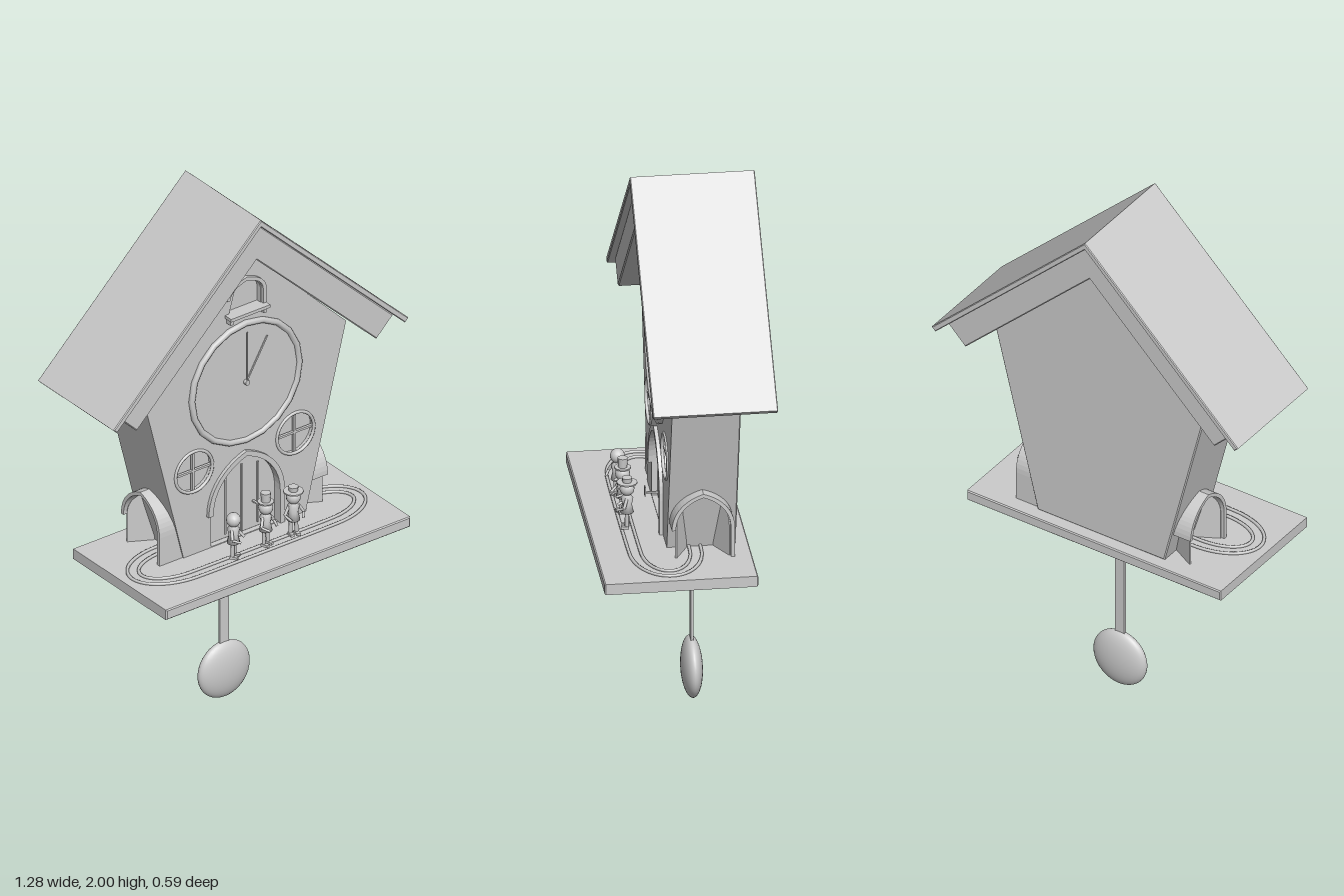
import * as THREE from 'three';

const mat = new THREE.MeshStandardMaterial({ color: 0xcccccc });
const flat = new THREE.MeshStandardMaterial({ color: 0xcccccc, flatShading: true });

function add(parent, name, geo, x = 0, y = 0, z = 0, material = mat) {
  const mesh = new THREE.Mesh(geo, material);
  mesh.name = name;
  mesh.position.set(x, y, z);
  parent.add(mesh);
  return mesh;
}

function group(parent, name, x = 0, y = 0, z = 0) {
  const g = new THREE.Group();
  g.name = name;
  g.position.set(x, y, z);
  parent.add(g);
  return g;
}

const box = (w, h, d) => new THREE.BoxGeometry(w, h, d);
const polygon = (pts) => new THREE.Shape(pts.map(([x, y]) => new THREE.Vector2(x, y)));

// Extrudes a shape from z0 to z1, with an optional bevel kept inside the outline.
function extrude(shape, z0, z1, bevel = 0) {
  const geo = new THREE.ExtrudeGeometry(shape, {
    depth: z1 - z0 - 2 * bevel, bevelEnabled: bevel > 0, bevelThickness: bevel,
    bevelSize: bevel, bevelOffset: -bevel, bevelSegments: 1, curveSegments: 12,
  });
  return geo.translate(0, 0, z0 + bevel);
}

// Slightly pointed arch standing on y0; a path of half width w and height h.
function arch(w, h, spring, y0 = 0, Type = THREE.Shape) {
  const p = new Type(), s = y0 + spring, r = h - spring;
  p.moveTo(-w, y0);
  p.lineTo(w, y0);
  p.lineTo(w, s);
  p.bezierCurveTo(w, s + r * 0.55, w * 0.5, s + r * 0.88, 0, s + r);
  p.bezierCurveTo(-w * 0.5, s + r * 0.88, -w, s + r * 0.55, -w, s);
  p.closePath();
  return p;
}

// Arch outline with its inside open down to the ground.
function archFrame(w, h, spring, t) {
  const pts = arch(w, h, spring).getPoints(12).slice(1, -1);
  const inner = arch(w - t, h - t, spring).getPoints(12).slice(1, -1).reverse();
  return new THREE.Shape([...pts, ...inner]);
}

function limb(parent, name, a, b, r) {
  const curve = new THREE.LineCurve3(new THREE.Vector3(...a), new THREE.Vector3(...b));
  return add(parent, name, new THREE.TubeGeometry(curve, 1, r, 6));
}

// Small standing person; the hat is 'top', 'wide' or none.
function figure(parent, name, x, turn, hat) {
  const g = group(parent, name, x, 0.71, 0.165);
  g.rotation.y = turn;
  const coat = [[0, 0.065], [0.024, 0.065], [0.017, 0.095], [0.022, 0.12], [0.009, 0.135], [0, 0.135]];
  add(g, 'coat', new THREE.LatheGeometry(coat.map((p) => new THREE.Vector2(...p)), 10));
  add(g, 'head', new THREE.SphereGeometry(0.026, 14, 10), 0, 0.155, 0);
  for (const s of [-1, 1]) {
    limb(g, 'leg', [s * 0.01, 0.075, 0], [s * 0.012, 0.008, 0], 0.007);
    add(g, 'shoe', box(0.014, 0.01, 0.028), s * 0.012, 0.011, 0.006);
    limb(g, 'upperArm', [s * 0.018, 0.122, 0], [s * 0.036, 0.092, 0.008], 0.006);
    limb(g, 'forearm', [s * 0.036, 0.092, 0.008], [s * 0.022, 0.08, 0.034], 0.005);
  }
  if (hat) {
    const wide = hat === 'wide';
    add(g, 'hatBrim', new THREE.CylinderGeometry(wide ? 0.036 : 0.029, wide ? 0.036 : 0.029, 0.005, 12), 0, 0.178, 0);
    add(g, 'hatCrown', new THREE.CylinderGeometry(0.018, 0.016, wide ? 0.018 : 0.036, 10), 0, wide ? 0.188 : 0.197, 0);
  }
  return g;
}

export function createModel() {
  const clock = new THREE.Group();
  clock.name = 'cuckooClock';

  // Base board
  const board = polygon([[-0.53, 0.66], [0.53, 0.66], [0.53, 0.70], [-0.53, 0.70]]);
  add(clock, 'baseBoard', extrude(board, -0.24, 0.295, 0.004));

  // House: solid back with a front wall cut out for the doors and windows
  const outline = [[-0.265, 0.7], [0.265, 0.7], [0.44, 1.4], [0, 1.84], [-0.44, 1.4]];
  add(clock, 'houseBody', extrude(polygon(outline), -0.195, 0.025, 0.004));
  const wall = polygon(outline);
  wall.holes.push(arch(0.145, 0.318, 0.13, 0.703, THREE.Path));
  wall.holes.push(arch(0.068, 0.115, 0.06, 1.605, THREE.Path));
  for (const s of [-1, 1]) {
    wall.holes.push(new THREE.Path().absarc(s * 0.22, 1.03, 0.08, 0, Math.PI * 2, true));
  }
  add(clock, 'frontWall', extrude(wall, 0.02, 0.045));

  // Roof: thin cover over a thicker inner layer
  const cover = [[0, 2], [-0.64, 1.385], [-0.625, 1.37], [0, 1.972], [0.625, 1.37], [0.64, 1.385]];
  add(clock, 'roofCover', extrude(polygon(cover), -0.295, 0.14, 0.003));
  const under = [[0, 1.975], [-0.593, 1.402], [-0.52, 1.33], [0, 1.83], [0.52, 1.33], [0.593, 1.402]];
  add(clock, 'roofUnderlayer', extrude(polygon(under), -0.265, 0.115, 0.004));

  // Clock face, rim and hands
  const dial = group(clock, 'dial', 0, 1.315, 0.045);
  add(dial, 'dialPlate', new THREE.CylinderGeometry(0.235, 0.235, 0.012, 40).rotateX(Math.PI / 2));
  add(dial, 'dialRim', new THREE.TorusGeometry(0.233, 0.012, 8, 20), 0, 0, 0.004);
  add(dial, 'handPin', new THREE.CylinderGeometry(0.01, 0.01, 0.014, 10).rotateX(Math.PI / 2), 0, 0, 0.012);
  add(dial, 'hourHand', box(0.006, 0.18, 0.003).translate(0, 0.09, 0), 0, 0, 0.01).rotation.z = -0.53;
  add(dial, 'minuteHand', box(0.005, 0.2, 0.003).translate(0, 0.1, 0), 0, 0, 0.014);

  // Bird door above the dial, with its ledge
  const bird = group(clock, 'birdDoor', 0, 1.605, 0);
  add(bird, 'birdDoorFrame', extrude(archFrame(0.085, 0.13, 0.06, 0.014), 0.04, 0.058));
  add(bird, 'birdDoorLedge', box(0.17, 0.012, 0.04), 0, -0.005, 0.06);
  for (const s of [-1, 1]) add(bird, 'ledgeBracket', box(0.012, 0.025, 0.025), s * 0.072, -0.02, 0.055);

  // Round windows with crossbars
  for (const s of [-1, 1]) {
    const win = group(clock, s > 0 ? 'leftWindow' : 'rightWindow', s * 0.22, 1.03, 0.045);
    add(win, 'windowRim', new THREE.TorusGeometry(0.08, 0.006, 8, 32));
    add(win, 'crossbar', box(0.16, 0.008, 0.01), 0, 0, -0.008);
    add(win, 'mullion', box(0.008, 0.16, 0.01), 0, 0, -0.008);
  }

  // Main door: frame, plank seams and knob
  const door = group(clock, 'mainDoor', 0, 0.7, 0);
  add(door, 'doorFrame', extrude(archFrame(0.165, 0.34, 0.13, 0.02), 0.04, 0.058));
  for (const x of [-0.07, 0, 0.07]) add(door, 'doorSeam', box(0.006, 0.27 - Math.abs(x) * 0.4, 0.006), x, 0.14, 0.027);
  add(door, 'knobStem', box(0.008, 0.006, 0.07), 0.05, 0.11, 0.058);
  add(door, 'knobPlate', box(0.02, 0.035, 0.004), 0.05, 0.118, 0.094);

  // Side tunnels with open door leaves
  for (const s of [-1, 1]) {
    const tunnel = group(clock, s > 0 ? 'leftTunnel' : 'rightTunnel', 0, 0.7, -0.07);
    tunnel.rotation.y = s * Math.PI / 2;
    add(tunnel, 'tunnelArch', extrude(archFrame(0.11, 0.245, 0.11, 0.014), 0.25, 0.365));
    const half = new THREE.Shape(arch(0.096, 0.215, 0.11).getPoints(12).filter((p) => p.x >= -1e-6));
    half.lineTo(0, 0);
    for (const side of [-1, 1]) {
      const hinge = group(tunnel, 'tunnelDoor', side * 0.094, 0, 0.352);
      hinge.rotation.y = side > 0 ? -1.08 : Math.PI + 1.08;
      add(hinge, 'doorLeaf', extrude(half, -0.003, 0.003).translate(-0.096, 0, 0));
    }
  }

  // Oval track, running through both tunnels
  const rails = group(clock, 'track', 0, 0.703, 0.055);
  for (const inset of [0.005, 0.045]) {
    const pts = [];
    for (let i = 0; i < 48; i++) {
      const a = ((i + 0.5) / 48) * Math.PI * 2, c = Math.cos(a);
      pts.push(new THREE.Vector3(Math.sign(c) * 0.3 + c * (0.2 - inset), 0, Math.sin(a) * (0.13 - inset)));
    }
    const loop = new THREE.CatmullRomCurve3(pts, true, 'centripetal');
    add(rails, 'rail', new THREE.TubeGeometry(loop, 140, 0.006, 6, true));
  }

  // Figures riding on the track
  figure(clock, 'bareheadedFigure', -0.14, 0.6, null);
  figure(clock, 'topHatFigure', 0, 0.3, 'top');
  figure(clock, 'wideHatFigure', 0.12, -0.2, 'wide');

  // Pendulum
  const pendulum = group(clock, 'pendulum', 0, 0, -0.075);
  add(pendulum, 'pendulumRod', box(0.038, 0.5, 0.01), 0, 0.45, 0);
  add(pendulum, 'rodSlot', box(0.08, 0.006, 0.03), 0, 0.659, 0, flat);
  add(pendulum, 'pendulumBob', new THREE.SphereGeometry(0.11, 32, 20), 0, 0.11, 0).scale.z = 0.34;

  return clock;
}
